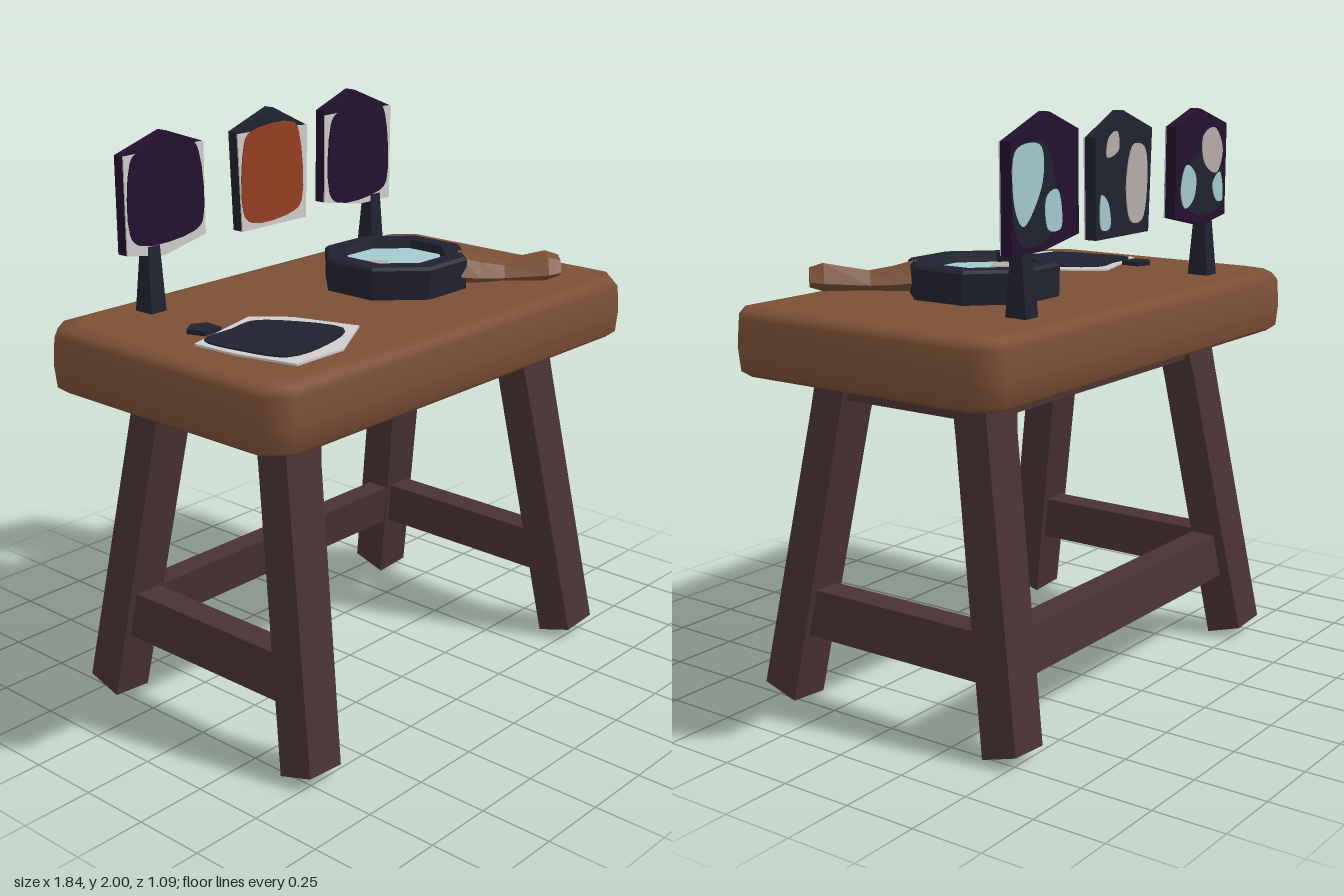
import * as THREE from 'three';

const mat = (name, color) => Object.assign(new THREE.MeshStandardMaterial({ color }), { name });
const wood = mat('warm wood', 0x7c5036);
const darkWood = mat('dark wood', 0x4a3234);
const navy = mat('navy', 0x20222f);
const purple = mat('purple', 0x24102f);
const orange = mat('orange', 0x943f22);
const white = mat('white', 0xcfcdcc);
const blue = mat('pale blue', 0xa2cacc);
const grey = mat('pale grey', 0xb5aca9);

// Skin a row of rings with equal point counts, capped at both ends
function loft(rings, smooth = false) {
  const n = rings[0].length, pos = rings.flat(2), idx = [];
  for (let r = 0; r < rings.length - 1; r++)
    for (let i = 0; i < n; i++) {
      const a = r * n + i, b = r * n + (i + 1) % n;
      idx.push(a, b, b + n, a, b + n, a + n);
    }
  const last = (rings.length - 1) * n;
  for (let i = 1; i < n - 1; i++) idx.push(0, i + 1, i, last, last + i, last + i + 1);
  // Signed volume tells whether the faces point inwards
  const p = rings.flat().map(v => new THREE.Vector3(...v));
  let vol = 0;
  for (let i = 0; i < idx.length; i += 3)
    vol += p[idx[i]].dot(p[idx[i + 1]].clone().cross(p[idx[i + 2]]));
  if (vol < 0) idx.reverse();
  let g = new THREE.BufferGeometry();
  g.setAttribute('position', new THREE.Float32BufferAttribute(pos, 3));
  g.setIndex(idx);
  if (!smooth) g = g.toNonIndexed();
  g.computeVertexNormals();
  return g;
}

// Flat plate from an outline; soft outlines are rounded by a closed curve
function plateGeometry(points, depth, soft = false) {
  let pts = points.map(p => new THREE.Vector2(...p));
  if (soft) {
    const c = new THREE.CatmullRomCurve3(pts.map(p => new THREE.Vector3(p.x, p.y, 0)), true);
    pts = c.getPoints(32).slice(0, -1).map(p => new THREE.Vector2(p.x, p.y));
  }
  return new THREE.ExtrudeGeometry(new THREE.Shape(pts), { depth, bevelEnabled: false });
}

const softRect = (x0, x1, y0, y1) => {
  const dx = (x1 - x0) * 0.13, dy = (y1 - y0) * 0.13;
  return [[x0, y0 + dy], [x0 + dx, y0], [x1 - dx, y0 + 0.01], [x1, y0 + dy],
    [x1 - 0.01, y1 - dy], [x1 - dx, y1], [x0 + dx, y1 - 0.01], [x0 + 0.01, y1 - dy]];
};

export function createModel() {
  const model = new THREE.Group();
  model.name = 'displayTable';
  const add = (name, geometry, material, parent = model) => {
    const m = new THREE.Mesh(geometry, material);
    m.name = name;
    parent.add(m);
    return m;
  };

  // Table top: soft slab with cut corners
  const slabRing = ([y, inset]) => {
    const x = 0.92 - inset, z = 0.545 - inset, c = 0.075;
    return [[x, y, z - c], [x - c, y, z], [c - x, y, z], [-x, y, z - c],
      [-x, y, c - z], [c - x, y, -z], [x - c, y, -z], [x, y, c - z]];
  };
  add('tableTop', loft([[1.14, 0.3], [1.142, 0.08], [1.15, 0.03], [1.17, 0.006], [1.25, 0],
    [1.34, 0.005], [1.365, 0.02], [1.376, 0.07], [1.378, 0.3]].map(slabRing), true), wood);

  // Splayed legs
  for (const sx of [1, -1])
    for (const sz of [1, -1]) {
      const ring = (x0, x1, z0, z1, yIn, yOut) => [[x0, yIn, z0], [x1, yIn + 0.01, z0],
        [x1, yOut, z1], [x0, yOut - 0.01, z1]].map(([x, y, z]) => [x * sx, y, z * sz]);
      add((sz > 0 ? 'front' : 'back') + (sx > 0 ? 'Left' : 'Right') + 'Leg', loft([
        ring(0.64, 0.785, 0.40, 0.53, 0, 0.05),
        ring(0.545, 0.70, 0.24, 0.365, 1.0, 1.02),
        ring(0.52, 0.69, 0.215, 0.345, 1.15, 1.15)]), darkWood);
    }

  // Rails run along x or z and lean with the legs
  const rail = (name, alongX, half, y0, y1, low, high, t) => {
    const end = s => [[low - t, y0], [low + t, y0], [high + t, y1], [high - t, y1]].map(
      ([o, y]) => alongX ? [s * half, y, o] : [o, y, s * half]);
    add(name, loft([end(-1), end(1)]), darkWood);
  };
  for (const s of [1, -1]) {
    const side = s > 0 ? 'left' : 'right';
    rail(side + 'Stretcher', false, 0.37, 0.24, 0.40, s * 0.69, s * 0.675, 0.05);
    rail(side + 'Apron', false, 0.27, 1.06, 1.15, s * 0.612, s * 0.605, 0.06);
    rail(s > 0 ? 'frontApron' : 'backApron', true, 0.58, 1.065, 1.15, s * 0.285, s * 0.28, 0.05);
  }
  rail('backStretcher', true, 0.65, 0.24, 0.395, -0.41, -0.385, 0.045);

  // Three upright cards with framed faces and patterned backs
  const cards = [
    { name: 'rightCard', body: purple, face: purple, rect: [-0.675, -0.355, 1.61, 1.925],
      outline: [[-0.69, 1.585], [-0.53, 1.56], [-0.34, 1.6], [-0.34, 1.915], [-0.5, 1.97], [-0.69, 1.91]],
      spots: [[navy, [[-0.65, 1.62], [-0.45, 1.61], [-0.37, 1.72], [-0.47, 1.8], [-0.62, 1.84]]],
        [grey, [[-0.53, 1.78], [-0.62, 1.74], [-0.66, 1.82], [-0.6, 1.9], [-0.52, 1.87]]],
        [blue, [[-0.4, 1.63], [-0.46, 1.66], [-0.47, 1.74], [-0.41, 1.78], [-0.37, 1.7]]],
        [blue, [[-0.66, 1.64], [-0.62, 1.64], [-0.59, 1.7], [-0.64, 1.74]]]] },
    { name: 'middleCard', body: navy, face: orange, rect: [-0.16, 0.13, 1.6, 1.925],
      outline: [[-0.165, 1.575], [0.155, 1.575], [0.165, 1.905], [0, 1.985], [-0.18, 1.92]],
      spots: [[grey, [[-0.05, 1.62], [-0.12, 1.62], [-0.15, 1.75], [-0.13, 1.86], [-0.06, 1.87], [-0.02, 1.75]]],
        [grey, [[0.03, 1.86], [0.1, 1.84], [0.09, 1.9], [0.04, 1.92]]],
        [blue, [[0.08, 1.61], [0.13, 1.61], [0.13, 1.72], [0.09, 1.69]]]] },
    { name: 'leftCard', body: purple, face: purple, rect: [0.28, 0.595, 1.6, 1.935],
      outline: [[0.255, 1.61], [0.45, 1.575], [0.615, 1.575], [0.62, 1.92], [0.42, 2], [0.26, 1.94]],
      spots: [[navy, [[0.42, 1.62], [0.58, 1.61], [0.6, 1.88], [0.45, 1.91], [0.39, 1.76]]],
        [blue, [[0.46, 1.79], [0.56, 1.66], [0.605, 1.72], [0.6, 1.89], [0.47, 1.9]]],
        [blue, [[0.36, 1.64], [0.43, 1.64], [0.44, 1.74], [0.38, 1.76]]]] },
  ];
  for (const c of cards) {
    const group = new THREE.Group();
    group.name = c.name;
    model.add(group);
    const plate = (name, pts, z, depth, m, soft) =>
      add(name, plateGeometry(pts, depth, soft), m, group).position.z = z;
    plate('cardBody', c.outline, -0.395, 0.04, c.body);
    // White border stops short of the peak
    const top = c.rect[3] - 0.01;
    plate('cardBorder', c.outline.map(([x, y]) => [x, Math.min(y, top)]), -0.355, 0.005, white);
    plate('cardFace', softRect(...c.rect), -0.35, 0.004, c.face, true);
    c.spots.forEach(([m, pts], i) => plate('backSpot', pts, -0.398 - i * 0.001, 0.003, m, true));
  }

  // Tapered posts under the outer cards
  const postRing = (x, y, w, d) => [[x - w, y, -0.37 - d], [x + w, y, -0.37 - d],
    [x + w, y, -0.37 + d], [x - w, y, -0.37 + d]];
  for (const [name, x] of [['rightPost', -0.58], ['leftPost', 0.53]])
    add(name, loft([postRing(x, 1.37, 0.033, 0.04), postRing(x + 0.005, 1.6, 0.026, 0.02)]), navy);

  // Sheet of paper lying on the table, with a small weight behind it
  const lay = (name, pts, y, m, depth = 0.008, soft = false) =>
    add(name, plateGeometry(pts, depth, soft).rotateX(Math.PI / 2), m).position.y = y;
  lay('paper', [[-0.76, 0.03], [-0.43, -0.06], [-0.34, 0.05], [-0.27, 0.28], [-0.49, 0.41], [-0.7, 0.41], [-0.75, 0.2]], 1.384, white);
  lay('paperInk', [[-0.72, 0.03], [-0.58, 0.01], [-0.47, -0.005], [-0.4, 0.07], [-0.335, 0.27],
    [-0.49, 0.345], [-0.67, 0.345], [-0.72, 0.2]], 1.389, navy, 0.006, true);
  lay('paperWeight', [[-0.69, -0.08], [-0.64, -0.115], [-0.59, -0.09], [-0.595, -0.02], [-0.67, -0.02]], 1.393, navy, 0.02);

  // Magnifying glass: octagonal rim, lens with a glint, flared handle
  const lensGroup = new THREE.Group();
  lensGroup.name = 'magnifyingGlass';
  lensGroup.position.set(0.238, 0, 0);
  model.add(lensGroup);
  const rim = new THREE.LatheGeometry([[0.17, 1.375], [0.26, 1.375], [0.262, 1.48], [0.25, 1.49],
    [0.185, 1.49], [0.175, 1.45], [0.17, 1.375]].map(p => new THREE.Vector2(...p)), 8, Math.PI / 8).toNonIndexed();
  rim.computeVertexNormals();
  add('rim', rim, navy, lensGroup);
  add('lens', new THREE.CylinderGeometry(0.18, 0.18, 0.08, 8, 1, false, Math.PI / 8), blue, lensGroup).position.y = 1.42;
  lay('lensGlint', [[0.075, -0.07], [0.12, -0.1], [0.2, 0], [0.12, 0.045], [0.075, 0.03]], 1.464, grey, 0.006);
  const handleRing = ([x, y, z, w, h]) => {
    const k = w * Math.SQRT1_2;
    return [[x - k, y - h * 0.3, z + k], [x, y - h, z], [x + k, y - h * 0.3, z - k], [x + k * 0.5, y + h, z - k * 0.5],
      [x - k * 0.5, y + h * 0.8, z + k * 0.5]];
  };
  add('handle', loft([[0.36, 1.44, 0.19, 0.075, 0.055], [0.41, 1.43, 0.24, 0.07, 0.045],
    [0.47, 1.425, 0.3, 0.06, 0.035], [0.575, 1.44, 0.41, 0.07, 0.05], [0.61, 1.44, 0.44, 0.055, 0.035]].map(handleRing)), wood);

  return model;
}
